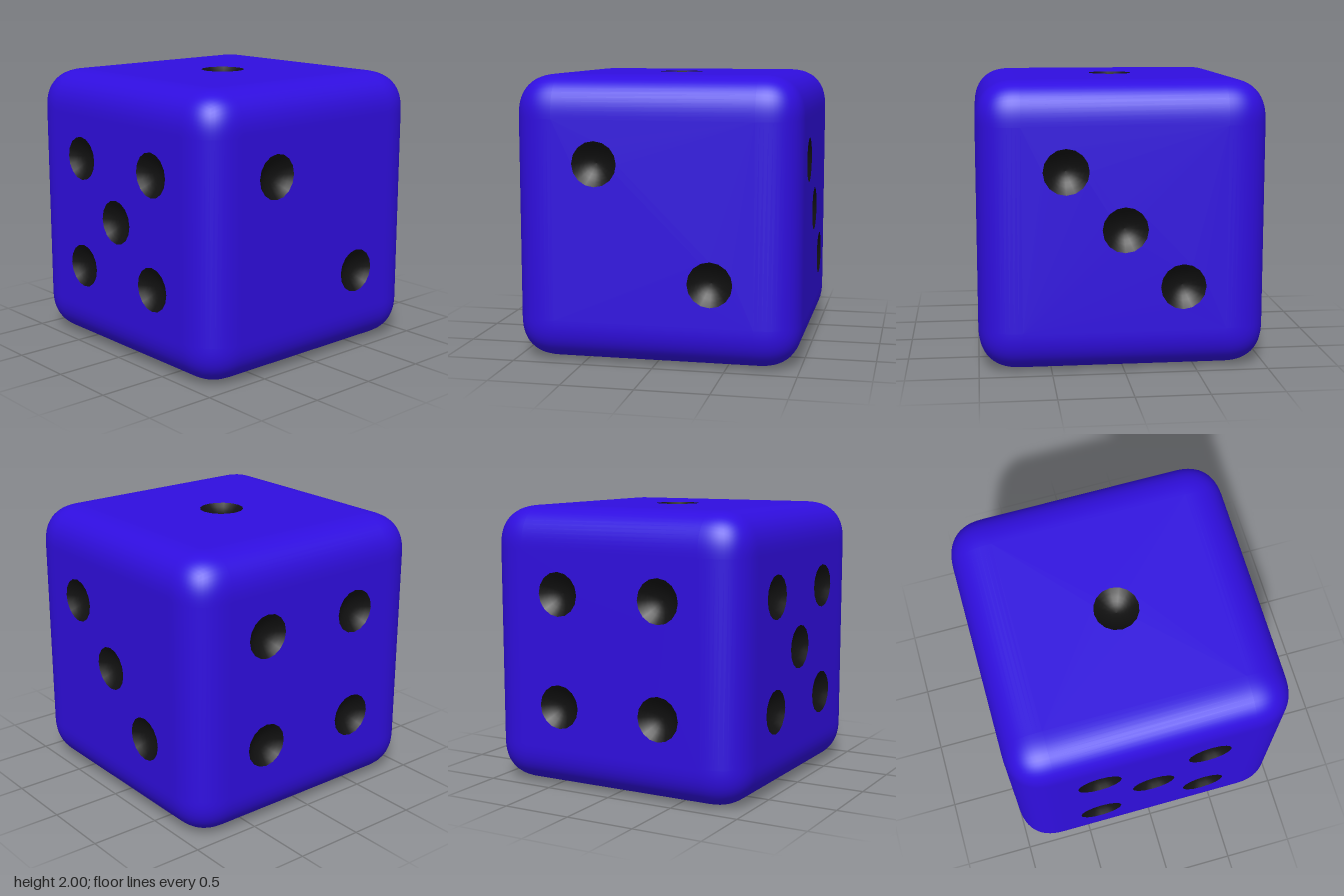
import * as THREE from 'three';
import { mergeGeometries } from 'three/addons/utils/BufferGeometryUtils.js';

const FLAT = 0.7;      // half width of the flat part of a face
const ROUND = 0.3;     // size of the rounded edge
const POWER = 2.5;     // a little fuller than a circular rounding
const STEPS = 8;       // segments across half of a rounded edge
const PIP_R = 0.157, PIP_DEPTH = 0.08, PIP_SIDES = 16;
const P = 0.4;         // pip spacing

const corners = [[-P, P], [P, P], [-P, -P], [P, -P]];
const diagonal = [[-P, P], [P, -P]];
const faces = [
  { name: 'frontFace', rot: [0, 0, 0], pips: [...corners, [0, 0]] },
  { name: 'leftFace', rot: [0, Math.PI / 2, 0], pips: diagonal },
  { name: 'backFace', rot: [0, Math.PI, 0], pips: [...diagonal, [0, 0]] },
  { name: 'rightFace', rot: [0, -Math.PI / 2, 0], pips: corners },
  { name: 'topFace', rot: [-Math.PI / 2, 0, 0], pips: [[0, 0]] },
  { name: 'bottomFace', rot: [Math.PI / 2, 0, 0], pips: [...corners, [-P, 0], [P, 0]] },
];

// Rounded edges and corners: a box grid bent by a rule, without the flat middle of each side
function roundedEdges() {
  const n = 2 * STEPS + 1;
  const geo = new THREE.BoxGeometry(2, 2, 2, n, n, n);
  const pos = geo.attributes.position, nor = geo.attributes.normal;
  const v = new THREE.Vector3(), normal = new THREE.Vector3();
  for (let i = 0; i < pos.count; i++) {
    v.fromBufferAttribute(pos, i);
    const base = [], off = [];
    for (const c of v.toArray()) {
      const k = (Math.abs(c) * n - 1) / 2;             // 0 at the flat part, STEPS at the rim
      base.push(Math.sign(c) * FLAT);
      off.push(Math.sign(c) * Math.tan((k / STEPS) * Math.PI / 4));
    }
    const len = off.reduce((s, o) => s + Math.abs(o) ** POWER, 0) ** (1 / POWER);
    pos.setXYZ(i, ...base.map((b, j) => b + ROUND * off[j] / len));
    normal.set(...off.map((o) => Math.sign(o) * Math.abs(o) ** (POWER - 1))).normalize();
    nor.setXYZ(i, normal.x, normal.y, normal.z);
  }
  const old = geo.index.array, kept = [];
  for (let q = 0; q < old.length; q += 6) {
    const cell = (q / 6) % (n * n);
    if (cell === STEPS * n + STEPS) continue;
    for (let j = 0; j < 6; j++) kept.push(old[q + j]);
  }
  geo.setIndex(kept);
  return geo;
}

// Flat middle of a side with round openings for the pips
function facePanel(pips) {
  const shape = new THREE.Shape([[-1, -1], [1, -1], [1, 1], [-1, 1]]
    .map(([x, y]) => new THREE.Vector2(x * FLAT, y * FLAT)));
  for (const [x, y] of pips) {
    const ring = [];
    for (let i = 0; i < PIP_SIDES; i++) {
      const a = -(i / PIP_SIDES) * Math.PI * 2;
      ring.push(new THREE.Vector2(x + PIP_R * Math.cos(a), y + PIP_R * Math.sin(a)));
    }
    shape.holes.push(new THREE.Path(ring));
  }
  return new THREE.ShapeGeometry(shape).translate(0, 0, 1);
}

// Shallow round hollow, open towards +z
function pipGeometry() {
  const profile = [];
  for (let i = 0; i <= 6; i++) {
    const r = 1 - i / 6;
    profile.push(new THREE.Vector2(PIP_R * r, -PIP_DEPTH * (1 - r * r)));
  }
  return new THREE.LatheGeometry(profile, PIP_SIDES).rotateX(Math.PI / 2);
}

export function createModel() {
  const model = new THREE.Group();
  model.name = 'die';
  const blue = new THREE.MeshStandardMaterial({ color: 0x300ee0 });
  const black = new THREE.MeshStandardMaterial({ color: 0x111111, side: THREE.DoubleSide });
  const pipGeo = pipGeometry();
  const bodyParts = [roundedEdges()];

  for (const { name, rot, pips } of faces) {
    const turn = new THREE.Matrix4().makeRotationFromEuler(new THREE.Euler(...rot));
    bodyParts.push(facePanel(pips).applyMatrix4(turn));

    const group = new THREE.Group();
    group.name = name + 'Pips';
    group.rotation.set(...rot);
    group.position.y = 1;
    for (const [x, y] of pips) {
      const pip = new THREE.Mesh(pipGeo, black);
      pip.name = 'pip';
      pip.position.set(x, y, 1);
      group.add(pip);
    }
    model.add(group);
  }

  const body = new THREE.Mesh(mergeGeometries(bodyParts), blue);
  body.name = 'body';
  body.position.y = 1;
  model.add(body);
  return model;
}
